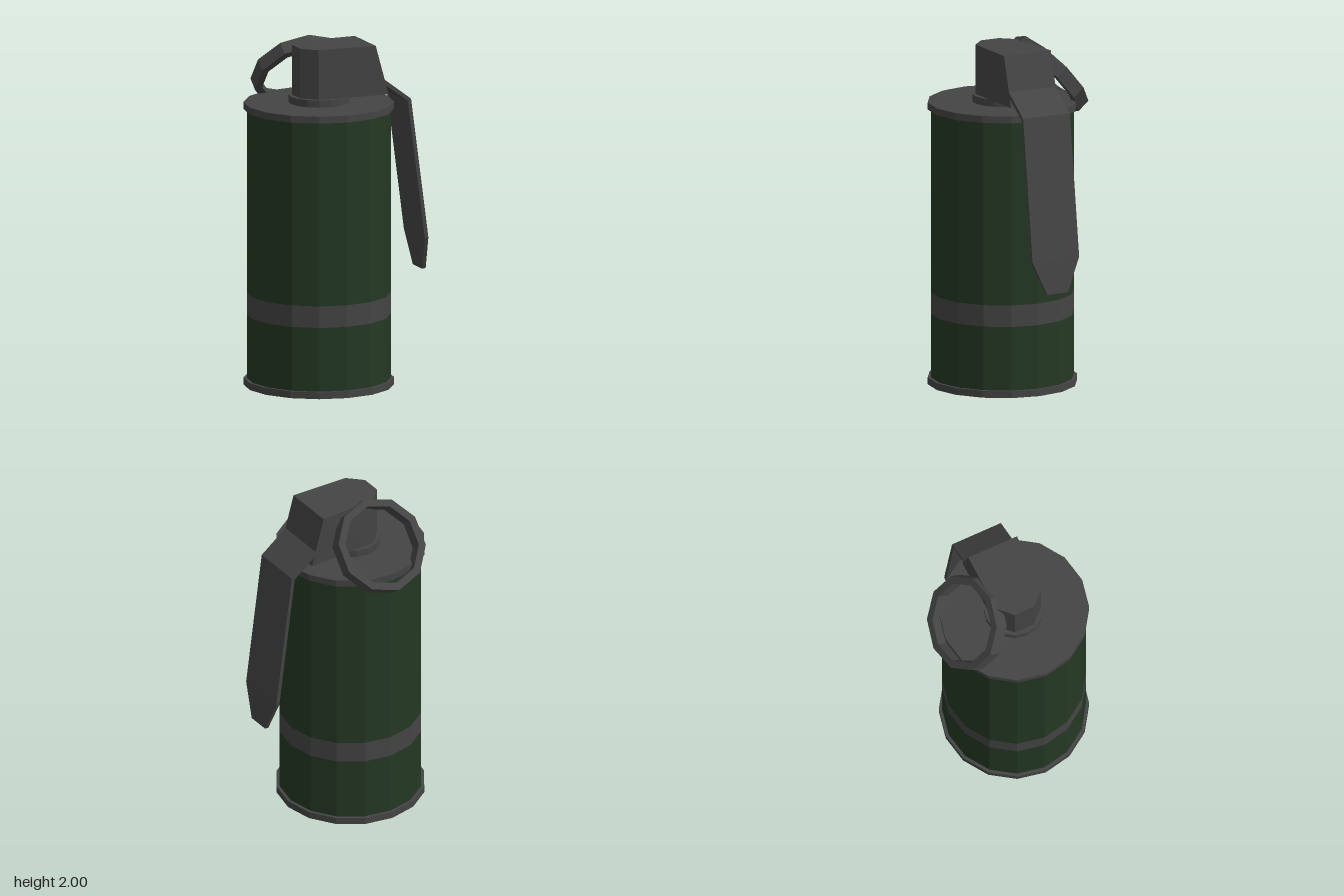
import * as THREE from 'three';

const CX = -0.104, CZ = 0.04; // axis of the canister

export function createModel() {
  const group = new THREE.Group();
  const mat = (name, color) => {
    const m = new THREE.MeshStandardMaterial({ color });
    m.name = name;
    m.flatShading = true;
    return m;
  };
  const grey = mat('dark grey metal', 0x444444);
  const green = mat('dark green paint', 0x243824);

  const add = (name, geometry, material) => {
    const mesh = new THREE.Mesh(geometry, material);
    mesh.name = name;
    group.add(mesh);
    return mesh;
  };

  // Canister: stacked 16-sided drums
  const drum = (name, r, y0, y1, material, open = false) =>
    add(name, new THREE.CylinderGeometry(r, r, y1 - y0, 16, 1, open), material)
      .position.set(CX, (y0 + y1) / 2, CZ);
  drum('bottomRim', 0.428, 0, 0.04, grey);
  drum('lowerBody', 0.41, 0.04, 0.41, green, true);
  drum('bodyBand', 0.41, 0.41, 0.535, grey, true);
  drum('upperBody', 0.41, 0.535, 1.6, green, true);
  drum('topRim', 0.428, 1.6, 1.64, grey);
  drum('neck', 0.172, 1.63, 1.682, grey);

  // Fuse head: chamfered block whose lever side flares out at the bottom
  const outline = [[-0.245, 0.1], [-0.165, 0.18], [0.183, 0.193],
    [0.183, -0.113], [-0.165, -0.1], [-0.245, -0.02]];
  const headShape = new THREE.Shape(outline.map(([x, z]) => new THREE.Vector2(x, -z)));
  const head = new THREE.ExtrudeGeometry(headShape, { depth: 0.288, bevelEnabled: false });
  head.rotateX(-Math.PI / 2).translate(0, 1.682, 0);
  const hp = head.attributes.position;
  for (let i = 0; i < hp.count; i++) {
    if (hp.getX(i) > 0.1 && hp.getY(i) < 1.8) hp.setX(i, 0.262);
  }
  head.computeVertexNormals();
  add('fuseHead', head, grey);

  // Safety lever: a thin bent strip, [x, y, offset x, offset y, half width] per station
  const stations = [
    [0.516, 0.635, 0.011, 0.001, 0.068],
    [0.497, 0.83, 0.011, 0.001, 0.153],
    [0.391, 1.64, 0.01, 0.006, 0.153],
    [0.225, 1.765, 0.007, 0.009, 0.153],
  ];
  const lever = new THREE.BoxGeometry(2, 3, 2, 1, 3, 1).toNonIndexed();
  const lp = lever.attributes.position;
  for (let i = 0; i < lp.count; i++) {
    const [x, y, ox, oy, w] = stations[Math.round(lp.getY(i) + 1.5)];
    const side = lp.getX(i);
    lp.setXYZ(i, x + side * ox, y + side * oy, CZ + lp.getZ(i) * w);
  }
  lever.computeVertexNormals();
  add('safetyLever', lever, grey);

  // Pull ring: ten-sided, leaning out over the back
  const decagon = (r) => Array.from({ length: 10 }, (_, i) => {
    const a = Math.PI / 2 + (i * Math.PI) / 5;
    return new THREE.Vector2(r * Math.cos(a), r * Math.sin(a));
  });
  const ringShape = new THREE.Shape(decagon(0.276));
  ringShape.holes.push(new THREE.Path(decagon(0.232)));
  const ringGeo = new THREE.ExtrudeGeometry(ringShape, { depth: 0.082, bevelEnabled: false });
  ringGeo.translate(0, 0, -0.041);
  const ring = add('pullRing', ringGeo, grey);
  ring.rotation.x = 0.7;
  ring.position.set(-0.102, 1.763, -0.255);

  return group;
}
